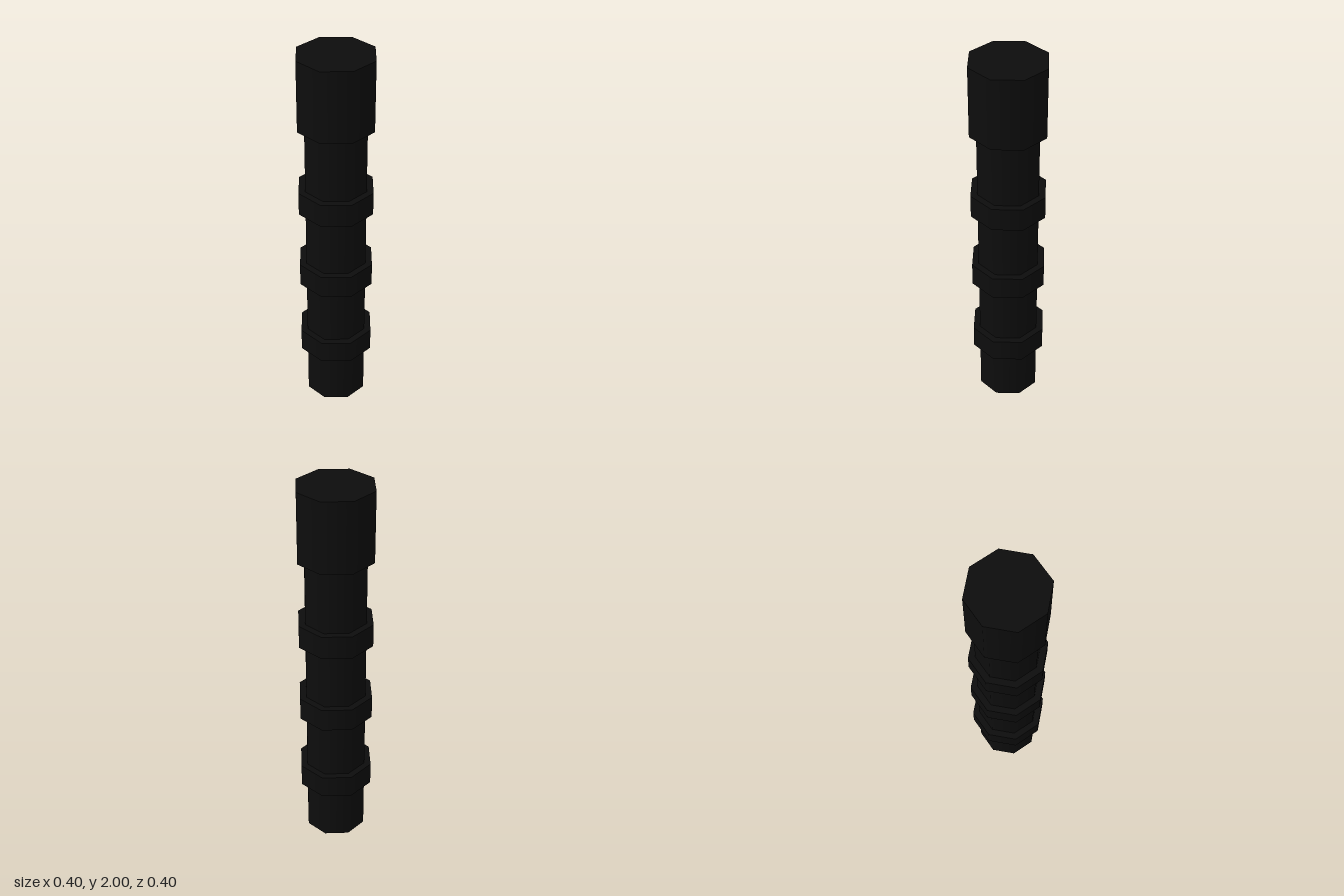
import * as THREE from 'three';

const SIDES = 8;

export function createModel() {
  const group = new THREE.Group();
  const material = new THREE.MeshStandardMaterial({ color: 0x0d0d0d });

  // Eight-sided drum between two heights, corners on the x and z axes
  function addDrum(name, radius, bottom, top) {
    const geometry = new THREE.CylinderGeometry(radius, radius, top - bottom, SIDES);
    const mesh = new THREE.Mesh(geometry, material);
    mesh.name = name;
    mesh.position.y = (bottom + top) / 2;
    group.add(mesh);
  }

  // Slim shaft running up into the head
  addDrum('shaft', 0.164, 0, 1.65);

  // Evenly spaced grip rings
  const ringHeight = 0.124;
  [0.355, 0.791, 1.226].forEach((y, i) => {
    addDrum(`ring${i + 1}`, 0.2, y - ringHeight / 2, y + ringHeight / 2);
  });

  // Wide head
  addDrum('head', 0.2, 1.63, 2);

  return group;
}
